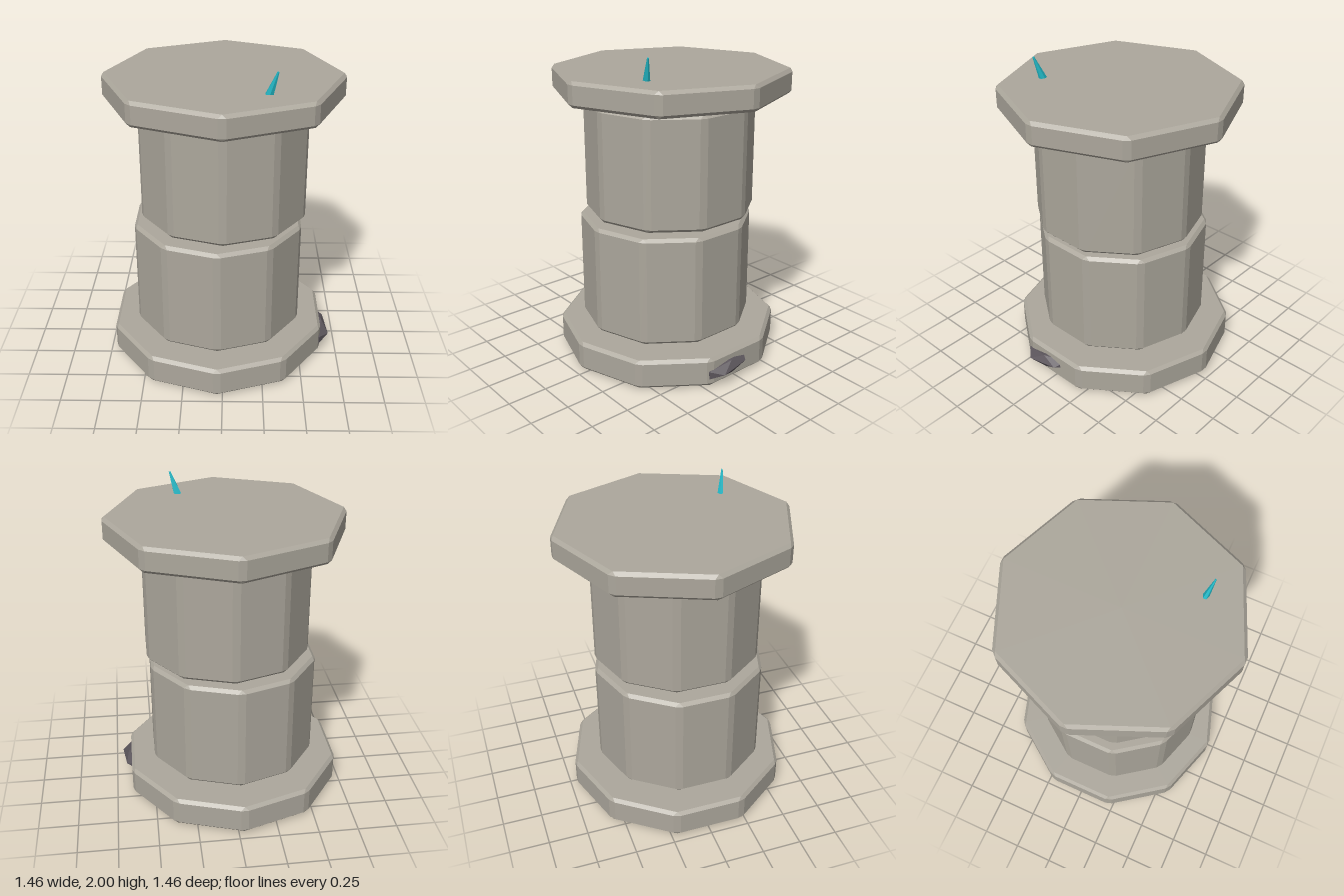
import * as THREE from 'three';

const paint = (color) => new THREE.MeshStandardMaterial({ color, flatShading: true, side: THREE.FrontSide });

// Upright n-sided stone block with chamfered rims and chamfered vertical edges
function bevelledPrism(sides, radius, y0, y1, bevel = 0.02, cut = 0.025) {
  const edge = 2 * radius * Math.sin(Math.PI / sides);
  const corner = (i, r) => {
    const a = Math.PI / 2 + (i / sides) * Math.PI * 2;
    return new THREE.Vector2(Math.cos(a) * r, Math.sin(a) * r);
  };
  const rim = [], wall = [];
  for (let i = 0; i < sides; i++) {
    const c = corner(i, radius);
    const inner = corner(i, radius - bevel / Math.cos(Math.PI / sides));
    rim.push(inner, inner);
    wall.push(c.clone().lerp(corner(i - 1, radius), cut / edge), c.clone().lerp(corner(i + 1, radius), cut / edge));
  }
  const rings = [[rim, y0], [wall, y0 + bevel], [wall, y1 - bevel], [rim, y1]];
  const n = sides * 2, pos = [];
  const put = (k, i) => pos.push(rings[k][0][i % n].x, rings[k][1], rings[k][0][i % n].y);
  for (let i = 0; i < n; i++) {
    for (let k = 0; k < 3; k++) {
      if (k > 0 || i % 2) { put(k, i); put(k + 1, i); put(k, i + 1); }
      if (k < 2 || i % 2) { put(k, i + 1); put(k + 1, i); put(k + 1, i + 1); }
    }
    // the rim corners coincide in pairs, so the walls need the remaining chamfer triangles only
    if (i % 2) {
      pos.push(0, y1, 0); put(3, i + 1); put(3, i);
      pos.push(0, y0, 0); put(0, i); put(0, i + 1);
    }
  }
  const geo = new THREE.BufferGeometry();
  geo.setAttribute('position', new THREE.Float32BufferAttribute(pos, 3));
  geo.computeVertexNormals();
  return geo;
}

export function createModel() {
  const model = new THREE.Group();
  const stone = paint(0xaca79c), rock = paint(0x5c565c), crystal = paint(0x22b8c6);
  const add = (name, geometry, material, x = 0, y = 0, z = 0) => {
    const mesh = new THREE.Mesh(geometry, material);
    mesh.name = name;
    mesh.position.set(x, y, z);
    model.add(mesh);
    return mesh;
  };

  // Stacked stones
  add('base', bevelledPrism(10, 0.715, 0.012, 0.2), stone, -0.035, 0, 0);
  add('lowerDrum', bevelledPrism(10, 0.552, 0.23, 0.93), stone, -0.035, 0, 0.015);
  add('upperDrum', bevelledPrism(10, 0.537, 0.975, 1.678), stone, 0, 0, 0.01);
  add('capSlab', bevelledPrism(8, 0.742, 1.712, 1.865), stone);

  // Thin tilted shard between the upper drum and the cap
  const shard = add('gapShard', new THREE.CylinderGeometry(0.42, 0.42, 0.014, 8), rock, 0, 1.692, 0.005);
  shard.scale.z = 0.8;
  shard.rotation.x = 0.04;

  // Rock chips set into the base
  const chip = add('sideChip', new THREE.IcosahedronGeometry(1, 0), rock, 0.62, 0.105, 0.07);
  chip.scale.set(0.085, 0.05, 0.19);
  chip.rotation.set(0.1, 0.12, 0);
  const under = add('undersideChip', new THREE.IcosahedronGeometry(1, 0), rock, 0.5, 0.024, 0);
  under.scale.set(0.06, 0.028, 0.06);

  // Leaning crystal spike piercing the cap
  const foot = new THREE.Vector3(0.18, 1.62, 0.35), tip = new THREE.Vector3(0.303, 2, 0.416);
  const axis = tip.clone().sub(foot);
  const spike = add('crystalSpike', new THREE.CylinderGeometry(0.006, 0.06, axis.length(), 6), crystal);
  spike.position.copy(foot).add(tip).multiplyScalar(0.5);
  spike.quaternion.setFromUnitVectors(new THREE.Vector3(0, 1, 0), axis.normalize());
  spike.scale.z = 0.75;
  return model;
}
